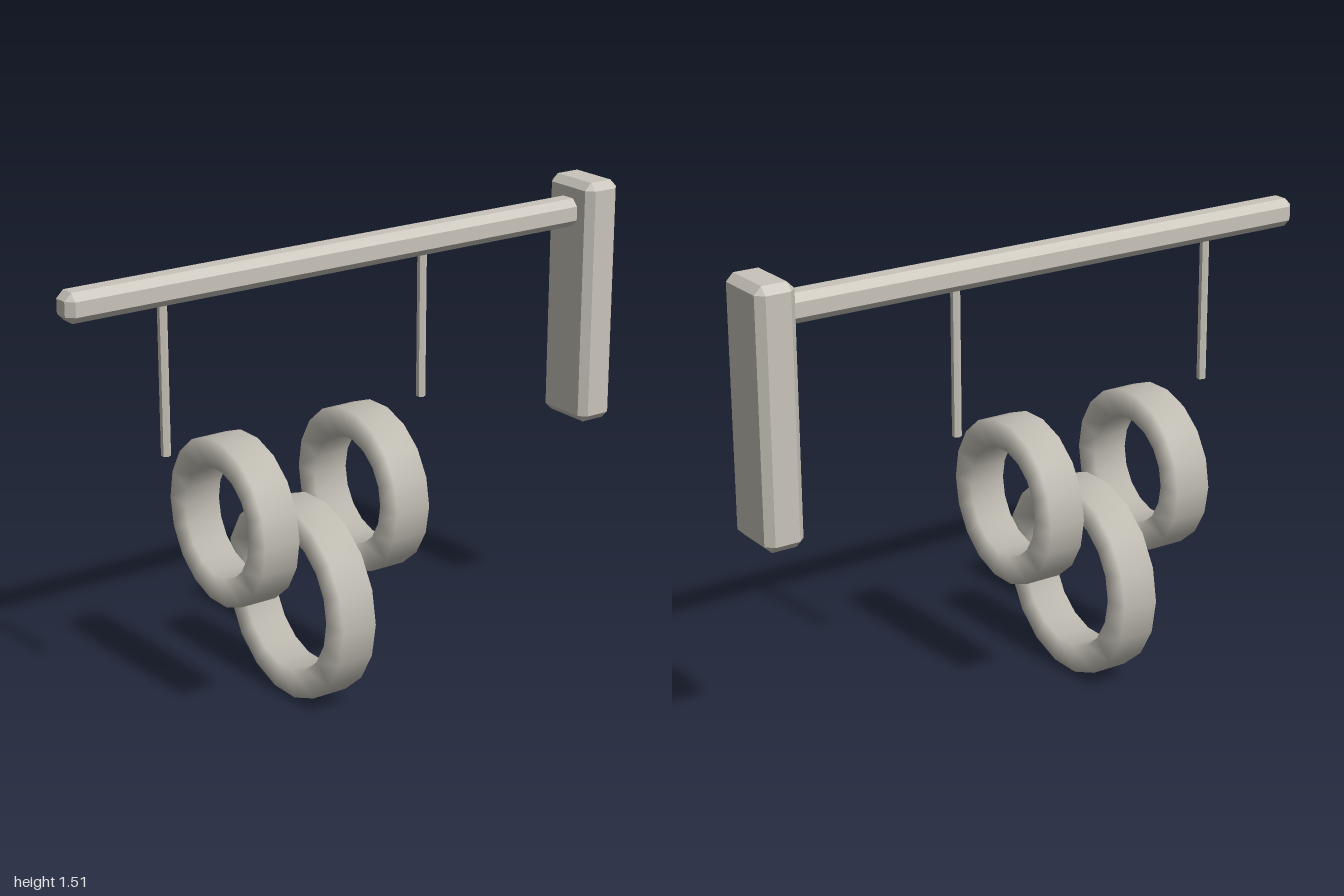
import * as THREE from 'three';
import { mergeVertices } from 'three/addons/utils/BufferGeometryUtils.js';
import { ConvexGeometry } from 'three/addons/geometries/ConvexGeometry.js';

// Box with every edge and corner cut off by c, flat faces
function bevelledBox(w, h, d, c) {
  const points = [];
  for (const x of [-1, 1]) for (const y of [-1, 1]) for (const z of [-1, 1]) {
    for (let full = 0; full < 3; full++) {
      const half = [w / 2, h / 2, d / 2].map((v, i) => (i === full ? v : v - c));
      points.push(new THREE.Vector3(x * half[0], y * half[1], z * half[2]));
    }
  }
  return new ConvexGeometry(points);
}

// Eighteen-sided ring with a rectangular section and softly blended normals
function ringGeometry(outer, inner, depth) {
  const h = depth / 2;
  const profile = [[inner, h], [inner, -h], [outer, -h], [outer, h], [inner, h]]
    .map(([x, y]) => new THREE.Vector2(x, y));
  let g = new THREE.LatheGeometry(profile, 18, Math.PI / 2);
  g.deleteAttribute('normal');
  g.deleteAttribute('uv');
  g = mergeVertices(g, 1e-4);
  g.computeVertexNormals();
  return g.rotateX(Math.PI / 2);
}

export function createModel() {
  const model = new THREE.Group();
  const stone = new THREE.MeshStandardMaterial({ color: 0xc8c4ba });
  stone.name = 'warmGrey';

  const add = (name, geometry, x, y, z) => {
    const mesh = new THREE.Mesh(geometry, stone);
    mesh.name = name;
    mesh.position.set(x, y, z);
    model.add(mesh);
  };

  // Wall post and the beam reaching forward from it
  add('wallPost', bevelledBox(0.213, 0.81, 0.13, 0.024), 0, 1.105, -0.935);
  add('beam', bevelledBox(0.092, 0.092, 1.9, 0.023), 0, 1.405, 0.05);

  // Thin six-sided hanging rods
  for (const [name, z] of [['frontRod', 0.667], ['backRod', -0.28]]) {
    const rod = new THREE.CylinderGeometry(0.015, 0.015, 0.48, 6).rotateY(Math.PI / 6).toNonIndexed();
    rod.computeVertexNormals();
    add(name, rod, 0, 1.13, z);
  }

  // Two upper rings with a larger one hanging between them
  add('frontRing', ringGeometry(0.268, 0.178, 0.122), 0, 0.634, 0.433);
  add('lowerRing', ringGeometry(0.323, 0.232, 0.122), 0, 0.318, 0.19);
  add('backRing', ringGeometry(0.268, 0.178, 0.122), 0, 0.634, -0.053);

  return model;
}
